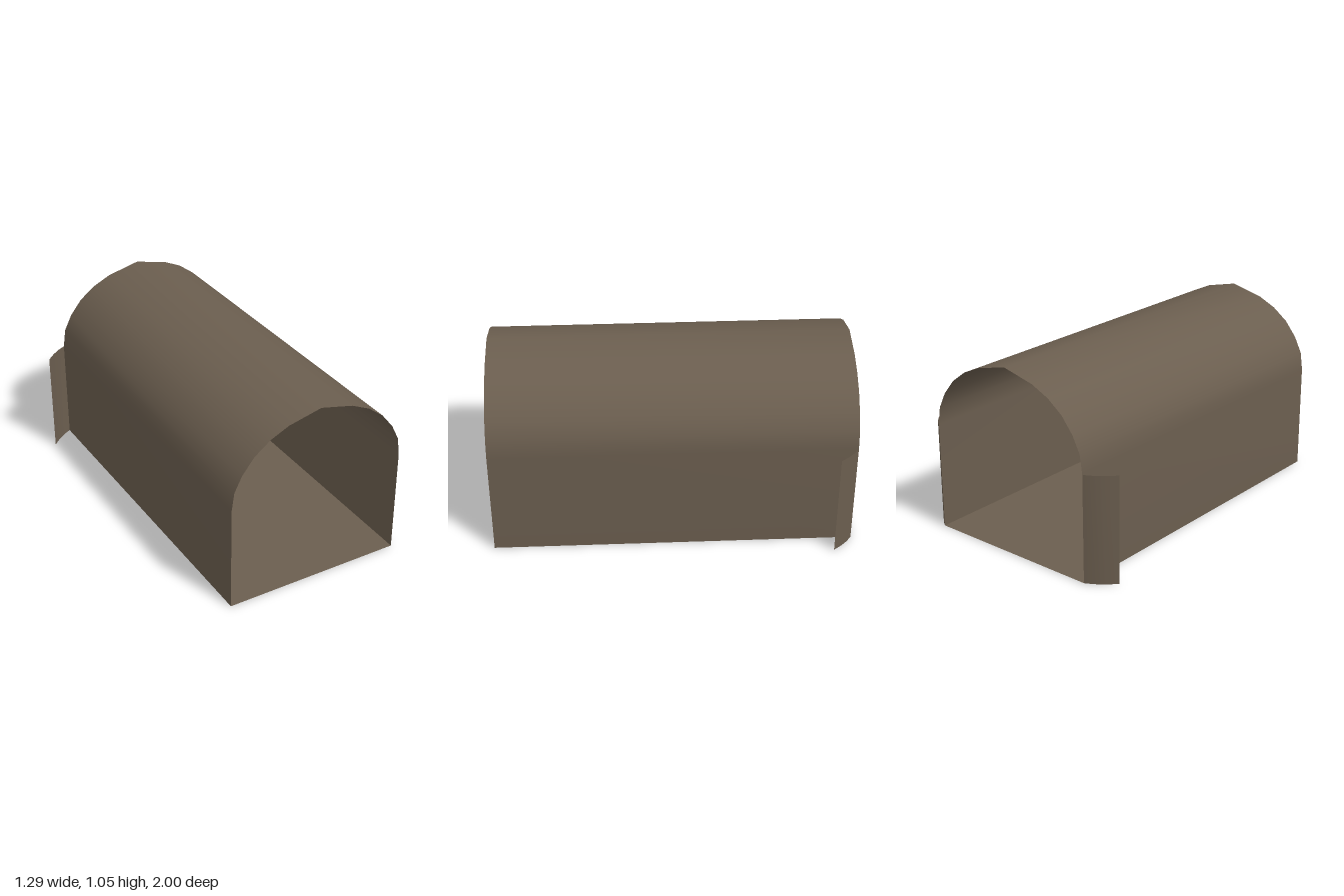
import * as THREE from 'three';

const stone = new THREE.MeshStandardMaterial({ color: 0x6b5e4f, side: THREE.DoubleSide });
stone.name = 'brownStone';

// Sheet swept between two matching rows of points, with smooth normals
function sheet(name, rowA, rowB) {
  const n = rowA.length;
  const index = [];
  for (let i = 0; i < n - 1; i++) {
    index.push(i, n + i, i + 1, i + 1, n + i, n + i + 1);
  }
  const geo = new THREE.BufferGeometry();
  geo.setAttribute('position', new THREE.Float32BufferAttribute([...rowA, ...rowB].flat(), 3));
  geo.setIndex(index);
  geo.computeVertexNormals();
  const mesh = new THREE.Mesh(geo, stone);
  mesh.name = name;
  return mesh;
}

export function createModel() {
  const group = new THREE.Group();
  group.name = 'tunnel';
  const cx = 0.018, half = 0.517;

  // Walls and vault: half profile as [offset from centre, height], mirrored
  const side = [
    [half, 0], [half, 0.605], [0.502, 0.71], [0.457, 0.8],
    [0.387, 0.887], [0.297, 0.955], [0.19, 1.005],
  ];
  const profile = [
    ...side.map(([x, y]) => [cx - x, y]),
    [cx, 1.05],
    ...side.map(([x, y]) => [cx + x, y]).reverse(),
  ];
  const at = (z) => profile.map(([x, y]) => [x, y, z]);
  group.add(sheet('wallsAndVault', at(-1), at(1)));

  // Floor
  const floorRow = (z) => [[cx - half, 0, z], [cx + half, 0, z]];
  group.add(sheet('floor', floorRow(-1), floorRow(1)));

  // Slightly bowed wing walls turned outwards at the back end
  const wing = (name, innerX, outerX) => {
    const row = (y) => [0, 0.33, 0.67, 1].map((t) => [
      innerX + (outerX - innerX) * t, y, -1 + 0.11 * t - 0.012 * Math.sin(Math.PI * t),
    ]);
    return sheet(name, row(0), row(0.605));
  };
  group.add(wing('leftWingWall', cx + half, 0.645));
  group.add(wing('rightWingWall', cx - half, -0.645));
  return group;
}
